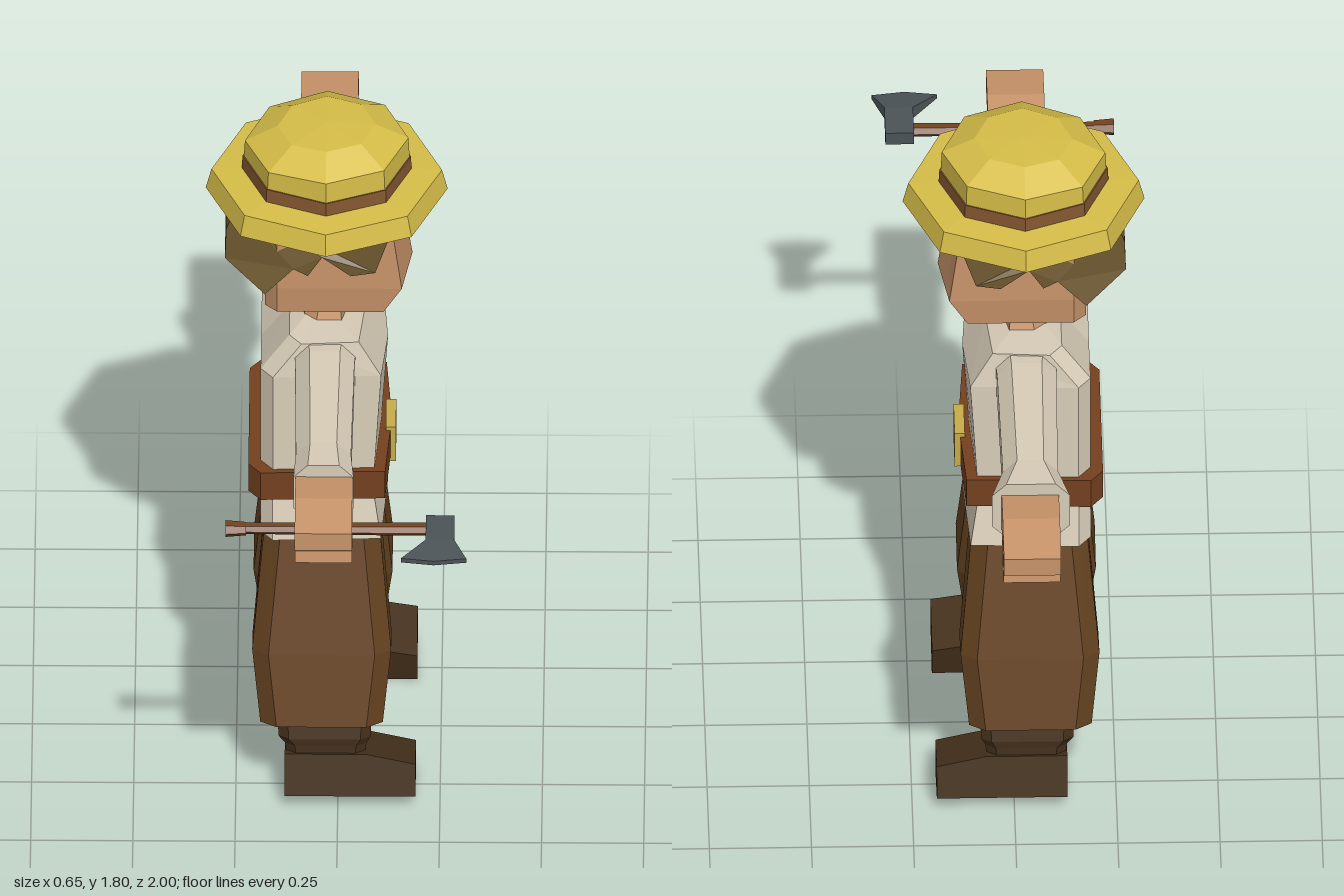
import * as THREE from 'three';

const mat = (color) => new THREE.MeshStandardMaterial({ color, flatShading: true, side: THREE.DoubleSide });
const SKIN = mat(0xc8946a), HAIR = mat(0x6e5830), SHIRT = mat(0xd8cdb8), PANTS = mat(0x644220), BOOT = mat(0x44301b);
const BELT = mat(0x74401f), HAT = mat(0xd6bd48), BAND = mat(0x835730), GOLD = mat(0xc9ab4a), WOOD = mat(0x74431f), STEEL = mat(0x4b5357);

// Joins rings of points [x, y, z] into a closed solid, turned outward by its signed volume
function loft(rings) {
  const n = rings[0].length;
  const tris = [];
  for (let r = 0; r < rings.length - 1; r++) {
    for (let i = 0; i < n; i++) {
      const j = (i + 1) % n;
      const a = rings[r][i], b = rings[r][j], c = rings[r + 1][j], d = rings[r + 1][i];
      tris.push([a, b, c], [a, c, d]);
    }
  }
  const cap = (ring, flip) => {
    const mid = [0, 1, 2].map((k) => ring.reduce((s, p) => s + p[k], 0) / n);
    ring.forEach((p, i) => {
      const q = ring[(i + 1) % n];
      tris.push(flip ? [mid, q, p] : [mid, p, q]);
    });
  };
  cap(rings[0], true);
  cap(rings[rings.length - 1], false);
  let volume = 0;
  for (const [a, b, c] of tris) {
    volume += a[0] * (b[1] * c[2] - b[2] * c[1]) + a[1] * (b[2] * c[0] - b[0] * c[2]) + a[2] * (b[0] * c[1] - b[1] * c[0]);
  }
  if (volume < 0) tris.forEach((t) => t.reverse());
  const geo = new THREE.BufferGeometry();
  geo.setAttribute('position', new THREE.Float32BufferAttribute(tris.flat(2), 3));
  geo.computeVertexNormals();
  return geo;
}

// Rectangle with cut corners, as pairs
function chamfered(a0, a1, b0, b1, c) {
  return [[a1, b0 + c], [a1, b1 - c], [a1 - c, b1], [a0 + c, b1], [a0, b1 - c], [a0, b0 + c], [a0 + c, b0], [a1 - c, b0]];
}

const polygon = (pts) => new THREE.Shape(pts.map(([x, y]) => new THREE.Vector2(x, y)));
const extrude = (shape, depth) => new THREE.ExtrudeGeometry(shape, { depth, bevelEnabled: false });

// Torso ring with a slight ridge down the front; dip lowers its middle
const bodyRing = (y, x0, x1, z, dip = 0) => [
  [x1, y - dip, 0], [x1 - 0.015, y, z], [x0 + 0.03, y, z + 0.01], [x0, y, z - 0.03],
  [x0, y - dip, 0], [x0, y, -z + 0.03], [x0 + 0.03, y, -z - 0.01], [x1 - 0.015, y, -z],
];

export function createModel() {
  const model = new THREE.Group();
  const add = (name, geo, material, parent = model) => {
    const mesh = new THREE.Mesh(geo, material);
    mesh.name = name;
    parent.add(mesh);
    return mesh;
  };

  // Shirt and belt
  add('shirt', loft([
    bodyRing(0.73, -0.19, 0.12, 0.25), bodyRing(0.86, -0.19, 0.1, 0.22),
    bodyRing(1.19, -0.19, 0.12, 0.215, 0.03), bodyRing(1.28, -0.12, 0.065, 0.2, 0.025),
  ]), SHIRT);
  add('belt', loft([bodyRing(0.84, -0.22, 0.13, 0.235), bodyRing(0.92, -0.22, 0.13, 0.235)]), BELT);

  const frame = polygon([[-0.06, 0.83], [0.06, 0.83], [0.06, 0.93], [-0.06, 0.93]]);
  frame.holes.push(polygon([[-0.03, 0.857], [-0.03, 0.903], [0.03, 0.903], [0.03, 0.857]]));
  add('buckle', extrude(frame, 0.025).rotateY(-Math.PI / 2).translate(0.14, 0, 0), GOLD);
  add('bucklePin', new THREE.BoxGeometry(0.012, 0.022, 0.032).translate(0.132, 0.88, 0), GOLD);

  // Neck and head
  const headRing = (y, x0, xSide, xMid, z) => [
    [xMid, y, 0], [xSide, y, z], [x0 + 0.03, y, z], [x0, y, z - 0.03],
    [x0, y, -z + 0.03], [x0 + 0.03, y, -z], [xSide, y, -z],
  ];
  add('neck', loft([headRing(1.24, -0.09, 0.01, 0.03, 0.115), headRing(1.36, -0.07, 0, 0.01, 0.07)]), SKIN);
  add('head', loft([
    headRing(1.335, -0.18, 0.11, 0.135, 0.15), headRing(1.41, -0.18, 0.155, 0.18, 0.158),
    headRing(1.63, -0.18, 0.125, 0.145, 0.155),
  ]), SKIN);

  // Hair with a jagged fringe over both sides and a bulge behind
  const hair = extrude(polygon([
    [-0.25, 1.63], [-0.275, 1.56], [-0.278, 1.475], [-0.18, 1.4], [-0.11, 1.475], [-0.075, 1.455],
    [-0.04, 1.51], [0.03, 1.455], [0.09, 1.465], [0.135, 1.6], [0.125, 1.63],
  ]), 0.34).translate(0, 0, -0.17);
  const hp = hair.attributes.position;
  for (let i = 0; i < hp.count; i++) {
    if (hp.getX(i) < -0.19) hp.setZ(i, hp.getZ(i) * 0.72);
  }
  hair.computeVertexNormals();
  add('hair', hair, HAIR);

  // Eight-sided hat
  const hat = new THREE.Group();
  hat.name = 'hat';
  hat.position.x = -0.03;
  model.add(hat);
  const turned = (pts) => new THREE.LatheGeometry(pts.map(([r, y]) => new THREE.Vector2(r, y)), 8);
  add('brim', turned([[0.15, 1.62], [0.296, 1.6], [0.282, 1.655], [0.2, 1.66]]), HAT, hat);
  add('hatBand', turned([[0.208, 1.655], [0.206, 1.695], [0.19, 1.695]]), BAND, hat);
  const crown = turned([[0.203, 1.69], [0.2, 1.75], [0.12, 1.79], [0, 1.795]]);
  const cp = crown.attributes.position;
  for (let i = 0; i < cp.count; i++) {
    if (cp.getY(i) > 1.72) cp.setY(i, cp.getY(i) + 0.05 * Math.min(0, cp.getX(i)));
  }
  add('crown', crown, HAT, hat);

  for (const s of [1, -1]) {
    const side = s > 0 ? 'right' : 'left';

    // Sleeve, flaring only on the empty hand
    const flare = s > 0 ? 0 : 0.022;
    const sleeve = (z, x0, x1, y0, y1) => chamfered(x0, x1, y0, y1, 0.035).map(([x, y]) => [x, y, s * z]);
    add(side + 'Sleeve', loft([
      sleeve(0.15, -0.11, 0.045, 1.13, 1.27), sleeve(0.24, -0.105, 0.04, 1.135, 1.28),
      sleeve(0.64, -0.1, 0.035, 1.13, 1.285), sleeve(0.745, -0.105 - flare, 0.042 + flare, 1.128, 1.29),
    ]), SHIRT);

    // Mitten hand with fingers above the thumb
    const tip = s > 0 ? 0.985 : 1;
    const hand = polygon([
      [0.7, 1.16], [0.82, 1.15], [0.835, 1.13], [0.925, 1.125], [0.92, 1.157], [0.85, 1.168],
      [0.835, 1.2], [0.9, 1.215], [tip, 1.203], [tip, 1.253], [0.86, 1.272], [0.7, 1.25],
    ].map(([z, y]) => [s * z, y]));
    add(side + 'Hand', extrude(hand, 0.14).rotateY(-Math.PI / 2).translate(0.04, 0, 0), SKIN);

    // Trouser leg, splayed outward with a slanted cuff
    const leg = (yIn, yOut, x0, x1, z0, z1) => chamfered(x0, x1, z0, z1, 0.04).map(
      ([x, z]) => [x, yIn + (yOut - yIn) * (z - z0) / (z1 - z0), s * z]);
    add(side + 'TrouserLeg', loft([
      leg(0.18, 0.235, -0.19, 0.11, 0.15, 0.348), leg(0.36, 0.42, -0.21, 0.13, 0.09, 0.305),
      leg(0.71, 0.74, -0.18, 0.1, 0.015, 0.22), leg(0.8, 0.8, -0.16, 0.09, 0.015, 0.19),
    ]), PANTS);

    // Boot, tilted with the leg
    const boot = new THREE.Group();
    boot.name = side + 'Boot';
    boot.position.set(0, 0.019, s * 0.28);
    boot.rotation.x = -0.235 * s;
    model.add(boot);
    const foot = polygon([[-0.13, 0], [0.19, 0], [0.19, 0.085], [0.07, 0.11], [-0.13, 0.11]]);
    add('foot', extrude(foot, 0.164).translate(0, 0, -0.082), BOOT, boot);
    const ankle = (y, x0, x1, z) => chamfered(x0, x1, -z, z, 0.025).map(([x, zz]) => [x, y, zz]);
    add('ankle', loft([
      ankle(0.09, -0.125, 0.065, 0.07), ankle(0.13, -0.13, 0.07, 0.078),
      ankle(0.15, -0.145, 0.08, 0.085), ankle(0.24, -0.15, 0.085, 0.085),
    ]), BOOT, boot);
  }

  // Axe lying across the right hand
  const axe = new THREE.Group();
  axe.name = 'axe';
  model.add(axe);
  add('handle', new THREE.CylinderGeometry(0.02, 0.017, 0.5, 6).rotateZ(-Math.PI / 2).scale(1, 0.75, 1).translate(-0.02, 1.175, 0.85), WOOD, axe);
  add('handleEnd', new THREE.CylinderGeometry(0.02, 0.025, 0.05, 6).rotateZ(-Math.PI / 2).scale(1, 0.75, 1).translate(-0.245, 1.175, 0.852), WOOD, axe);
  const blade = polygon([
    [0.22, 0.815], [0.29, 0.815], [0.29, 0.92], [0.32, 0.985], [0.24, 0.997], [0.16, 0.985], [0.22, 0.92],
  ]);
  const bladeGeo = extrude(blade, 0.034).rotateX(Math.PI / 2).translate(0, 1.192, 0);
  const bp = bladeGeo.attributes.position;
  for (let i = 0; i < bp.count; i++) {
    if (bp.getZ(i) > 0.95) bp.setY(i, 1.175 + (bp.getY(i) - 1.175) * 0.35);
  }
  bladeGeo.computeVertexNormals();
  add('blade', bladeGeo, STEEL, axe);

  return model;
}
